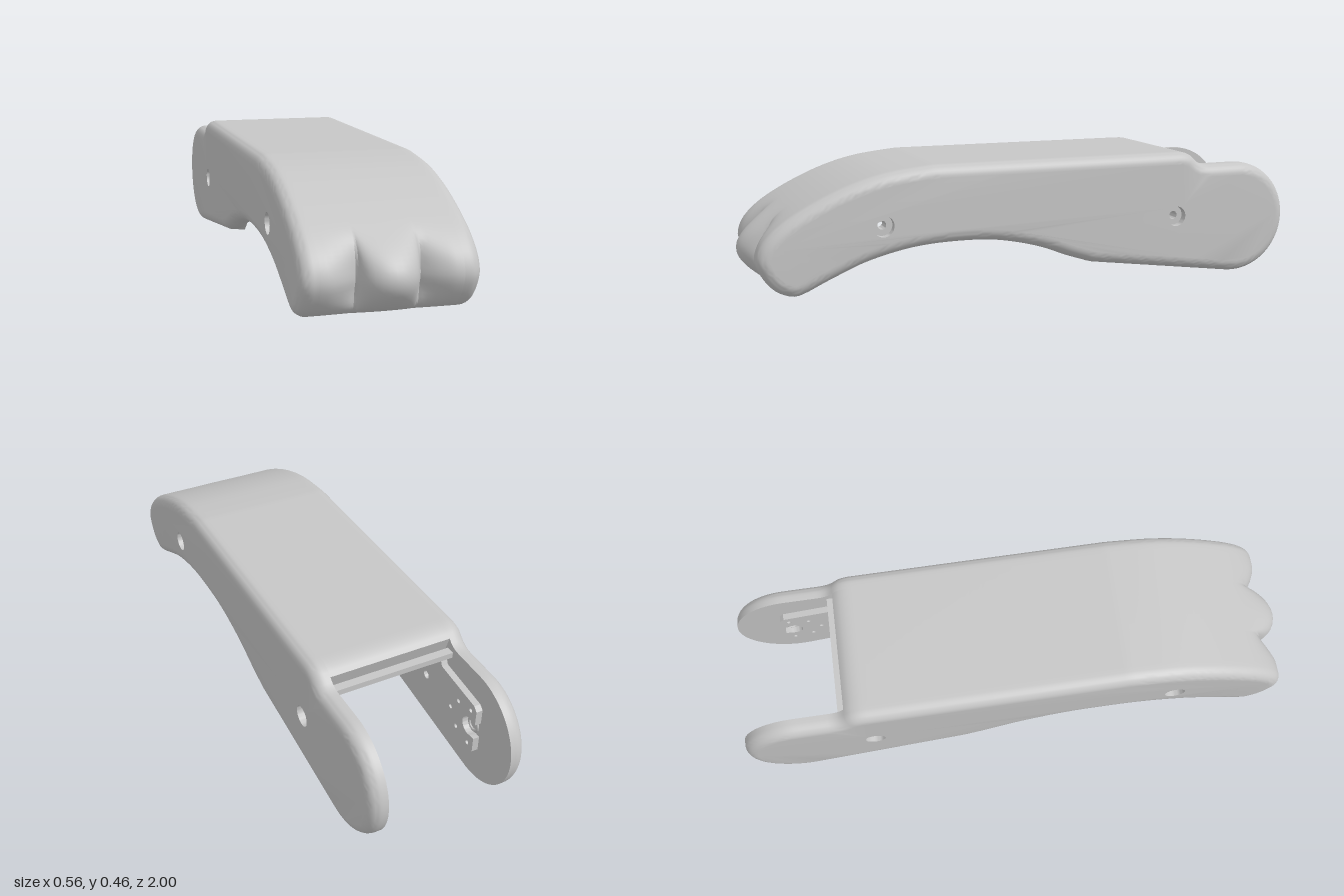
import * as THREE from 'three';
import { mergeGeometries, toCreasedNormals } from 'three/addons/utils/BufferGeometryUtils.js';

const V = (u, v) => new THREE.Vector2(u, v);
const OUT = 0.278, INNER = 0.218, PLATE = 0.195, R = 0.042, CEILING = 0.374;
const screws = [[0.555, 0.27], [-0.535, 0.23]];

// Side silhouette in (z, y), counter-clockwise from the front lower lip
function outline() {
  const p = new THREE.Path();
  p.moveTo(0.8, 0.066);
  p.splineThru([[0.85, 0.052], [0.91, 0.076], [0.953, 0.13], [0.967, 0.185], [0.935, 0.25], [0.85, 0.318],
    [0.7, 0.393], [0.55, 0.44], [0.38, 0.462]].map(a => V(...a)));
  p.lineTo(-0.54, 0.462);
  p.quadraticCurveTo(-0.59, 0.463, -0.613, 0.438);
  p.quadraticCurveTo(-0.635, 0.411, -0.67, 0.411);
  p.lineTo(-0.795, 0.411);
  p.absarc(-0.795, 0.206, 0.205, Math.PI / 2, 4.845, false);
  p.lineTo(-0.21, 0.081);
  p.splineThru([[-0.12, 0.11], [0, 0.155], [0.15, 0.188], [0.3, 0.195], [0.45, 0.185], [0.6, 0.151],
    [0.72, 0.103], [0.8, 0.066]].map(a => V(...a)));
  const pts = p.getSpacedPoints(260);
  pts.pop();
  return pts;
}

function inset(pts, d) {
  const n = pts.length;
  return pts.map((p, i) => {
    const t = pts[(i + 1) % n].clone().sub(pts[(i + n - 1) % n]).normalize();
    return V(p.x - t.y * d, p.y + t.x * d);
  });
}

// Surface through closed (z, y) loops at rising x
function loft(rows) {
  const n = rows[0].pts.length, pos = [], idx = [];
  rows.forEach(r => r.pts.forEach(p => pos.push(r.x, p.y, p.x)));
  for (let i = 0; i < rows.length - 1; i++) for (let j = 0; j < n; j++) {
    const k = (j + 1) % n, a = i * n + j, b = a + n, c = i * n + k, d = c + n;
    idx.push(a, b, c, b, d, c);
  }
  const g = new THREE.BufferGeometry();
  g.setAttribute('position', new THREE.Float32BufferAttribute(pos, 3));
  g.setIndex(idx);
  return g;
}

// Position-only, unindexed geometry
function bare(g) {
  const f = g.index ? g.toNonIndexed() : g.clone();
  const out = new THREE.BufferGeometry();
  out.setAttribute('position', f.attributes.position);
  return out;
}

function flip(g) {
  const out = bare(g), a = out.attributes.position.array;
  for (let i = 0; i < a.length; i += 9) for (let k = 3; k < 6; k++) {
    const t = a[i + k];
    a[i + k] = a[i + k + 3];
    a[i + k + 3] = t;
  }
  return out;
}

function circle(u, v, r) {
  return new THREE.Path().absarc(u, v, r, 0, Math.PI * 2, true);
}

function cap(pts, x, r) {
  const s = new THREE.Shape(pts);
  screws.forEach(([u, v]) => s.holes.push(circle(u, v, r)));
  return new THREE.ShapeGeometry(s, 16).rotateY(-Math.PI / 2).translate(x, 0, 0);
}

// Three rounded lobes across the nose
function lobed(p, x) {
  const ss = THREE.MathUtils.smoothstep, ax = Math.abs(x);
  const reach = ax <= 0.093
    ? 0.908 + 0.092 * Math.sqrt(Math.max(0, 1 - (ax / 0.094) ** 2))
    : 0.908 + 0.059 * Math.sin(Math.PI / 2 * Math.min(1, (ax - 0.093) / 0.115));
  const w = (1 - ss(p.y, 0.18, 0.33)) * ss(p.y, 0.03, 0.15) * ss(p.x, 0.8, 0.92);
  return V(p.x + (reach - 0.967) * w, p.y);
}

export function createModel() {
  const group = new THREE.Group();
  const grey = new THREE.MeshStandardMaterial({ color: 0xc6c6c6, side: THREE.DoubleSide });
  grey.name = 'grey';
  const add = (name, g) => {
    const m = new THREE.Mesh(toCreasedNormals(bare(g), 0.6), grey);
    m.name = name;
    group.add(m);
  };
  const pair = (name, g) => {
    add('left' + name, g);
    add('right' + name, flip(bare(g).scale(-1, 1, 1)));
  };
  const line = outline();

  // Side walls with rounded outer edges
  const rows = [{ x: INNER, pts: line }];
  for (let i = 0; i <= 8; i++) {
    const a = i / 8 * Math.PI / 2;
    rows.push({ x: OUT - R + R * Math.sin(a), pts: inset(line, R * (1 - Math.cos(a))) });
  }
  pair('SideWall', mergeGeometries([bare(loft(rows)), bare(cap(line, INNER, 0.015)),
    flip(cap(rows[rows.length - 1].pts, OUT, 0.036))]));

  // Top and nose skin between the walls, with a flat ceiling inside
  const end = line.findIndex(p => p.x < -0.618);
  const outer = line.slice(0, end);
  const inner = inset(line, 0.03).slice(0, end).reverse().map(p => V(Math.max(p.x, -0.615), Math.min(p.y, CEILING)));
  const half = [0.02, 0.04, 0.06, 0.073, 0.083, 0.09, 0.093, 0.1, 0.11, 0.125, 0.145, 0.175, 0.195, INNER];
  const xs = [...half.map(x => -x).reverse(), 0, ...half];
  add('topShell', loft(xs.map(x => ({ x, pts: [...outer, ...inner].map(p => lobed(p, x)) }))));

  // Rear ledge under the end of the top
  add('rearLedge', new THREE.BoxGeometry(2 * INNER, 0.02, 0.03).translate(0, CEILING + 0.01, -0.626));

  // Counterbored screw sockets
  screws.forEach(([z, y], i) => {
    const prof = [V(0.036, OUT), V(0.036, 0.25), V(0.015, 0.25), V(0.015, PLATE)];
    pair('ScrewSocket' + (i + 1), new THREE.LatheGeometry(prof, 32).rotateZ(-Math.PI / 2).translate(0, y, z));
  });

  // Inner mounting plates with a notched, drilled rear end
  const s = new THREE.Shape();
  s.moveTo(-0.83, 0.125);
  [[-0.815, 0.11], [-0.66, 0.11], [-0.62, 0.13], [-0.54, 0.185], [-0.46, 0.18], [-0.28, 0.08], [-0.2, 0.08],
    [-0.14, 0.125], [-0.05, 0.165], [0.1, 0.203], [0.3, 0.217], [0.5, 0.2], [0.62, 0.171], [0.74, 0.125], [0.74, 0.3],
    [0.66, 0.345], [0.58, CEILING], [-0.6, CEILING], [-0.62, 0.33], [-0.815, 0.31], [-0.83, 0.295], [-0.83, 0.24],
    [-0.81, 0.24]].forEach(p => s.lineTo(...p));
  s.absarc(-0.795, 0.21, 0.033, 2.03, -2.03, true);
  s.lineTo(-0.83, 0.18);
  screws.forEach(([u, v]) => s.holes.push(circle(u, v, 0.015)));
  [[-0.8, 0.28], [-0.8, 0.14], [-0.73, 0.265], [-0.73, 0.155], [-0.69, 0.21]]
    .forEach(([u, v]) => s.holes.push(circle(u, v, 0.008)));
  pair('MountingPlate', new THREE.ExtrudeGeometry(s, { depth: INNER - PLATE, bevelEnabled: false, curveSegments: 16 })
    .rotateY(-Math.PI / 2).translate(INNER, 0, 0));

  // Pivot collar in the notch
  pair('PivotCollar', new THREE.TorusGeometry(0.024, 0.006, 8, 24).rotateY(Math.PI / 2)
    .translate(INNER, 0.21, -0.795));

  // Small drilled brackets behind the nose
  const b = new THREE.Shape([V(-0.035, -0.03), V(0.035, -0.03), V(0.035, 0.015), V(0.015, 0.035), V(-0.035, 0.035)]);
  b.holes.push(circle(0, 0, 0.009));
  [[0.7, 0.21], [0.81, 0.14]].forEach(([z, y], i) => {
    pair('NoseBracket' + (i + 1), new THREE.ExtrudeGeometry(b, { depth: 0.04, bevelEnabled: false })
      .rotateY(-Math.PI / 2).rotateX(0.4).translate(INNER - 0.005, y, z));
  });

  // Sloped cross plate closing the nose
  add('noseCrossPlate', new THREE.BoxGeometry(2 * INNER, 0.17, 0.012).rotateX(-0.25).translate(0, 0.18, 0.84));
  return group;
}
